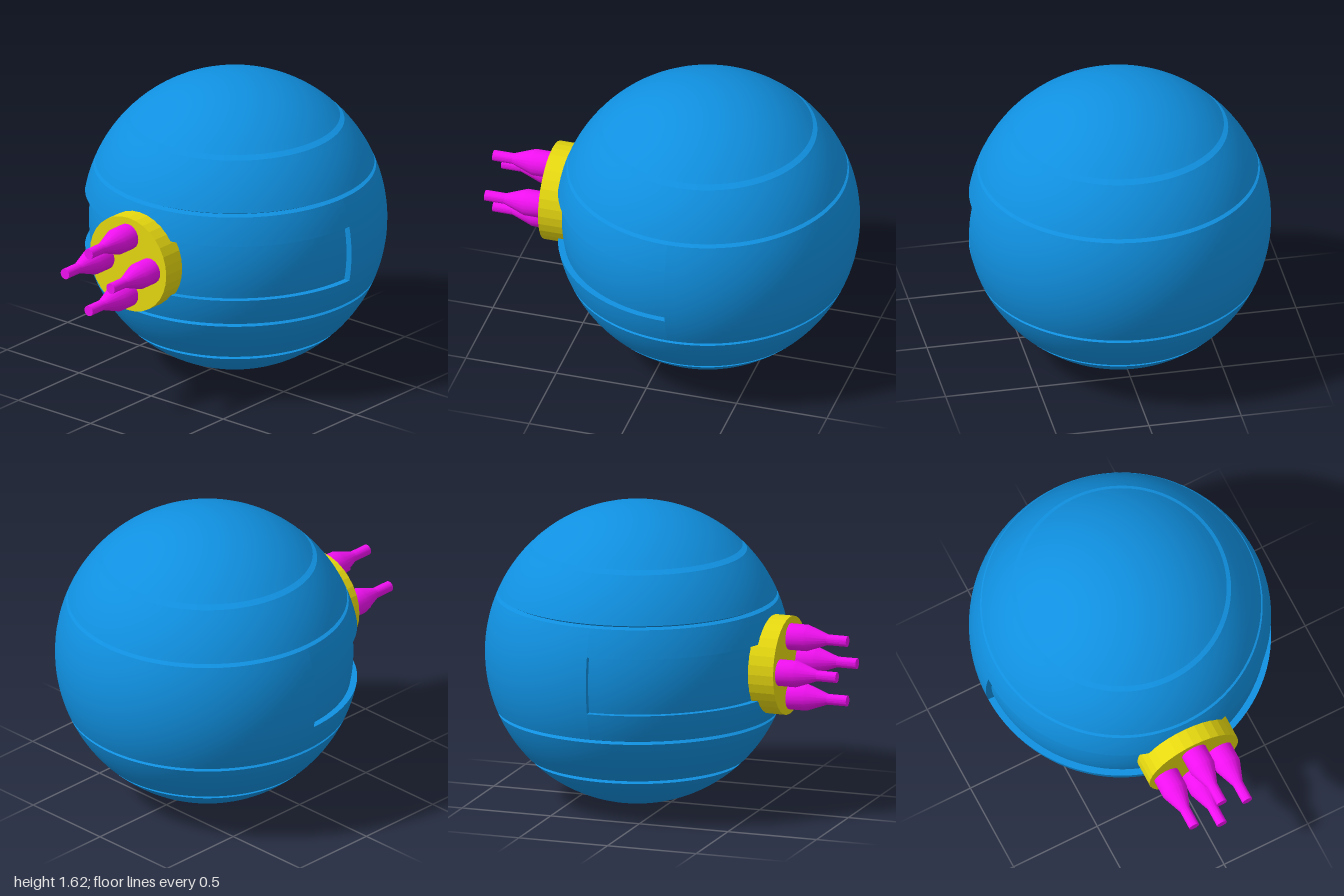
import * as THREE from 'three';
import { toCreasedNormals } from 'three/addons/utils/BufferGeometryUtils.js';

const R = 0.81, FLOOR_R = 0.775, HALF_SLOT = 0.155;

export function createModel() {
  const model = new THREE.Group();
  const mat = (color) => new THREE.MeshStandardMaterial({ color, side: THREE.DoubleSide });
  const blue = mat(0x1090e0), yellow = mat(0xe6d810), magenta = mat(0xf010f0);

  const add = (parent, name, geometry, material) => {
    const mesh = new THREE.Mesh(geometry, material);
    mesh.name = name;
    parent.add(mesh);
    return mesh;
  };
  // Points on a circle of radius r between two heights
  const arc = (r, y0, y1, n) => {
    const a0 = Math.asin(y0 / r), a1 = Math.asin(y1 / r);
    return Array.from({ length: n + 1 }, (_, i) => {
      const a = a0 + (a1 - a0) * i / n;
      return new THREE.Vector2(Math.max(0, r * Math.cos(a)), r * Math.sin(a));
    });
  };
  const lathe = (pts, seg, start = 0, length = Math.PI * 2) =>
    toCreasedNormals(new THREE.LatheGeometry(pts, seg, start, length), 0.4);

  // Ball, centred on its own origin
  const ball = new THREE.Group();
  ball.name = 'ball';
  ball.position.set(0, 0.815, -0.19);
  model.add(ball);

  // Upper and lower shells: groove, tapered band, groove, cap
  const shell = [
    new THREE.Vector2(0.72, 0.314),
    ...arc(R, 0.325, 0.563, 10),
    new THREE.Vector2(0.53, 0.579),
    ...arc(R, 0.586, R, 14),
  ];
  add(ball, 'upperShell', lathe(shell, 96), blue);
  const mirrored = shell.map((p) => new THREE.Vector2(p.x, -p.y)).reverse();
  add(ball, 'lowerShell', lathe(mirrored, 96), blue);

  // Middle band: plain at the back, with a sunken slot around the front half
  const low = new THREE.Vector2(0.72, -0.314), high = new THREE.Vector2(0.72, 0.314);
  add(ball, 'rearBand', lathe([low, ...arc(R, -0.305, 0.305, 20), high], 48, Math.PI / 2, Math.PI), blue);
  const slotted = [
    low,
    ...arc(R, -0.305, -HALF_SLOT, 6),
    ...arc(FLOOR_R, -HALF_SLOT, HALF_SLOT, 10),
    ...arc(R, HALF_SLOT, 0.305, 6),
    high,
  ];
  add(ball, 'frontBand', lathe(slotted, 48, -Math.PI / 2, Math.PI), blue);

  // Walls closing the two ends of the slot
  const wall = new THREE.Shape([
    ...arc(R, -HALF_SLOT, HALF_SLOT, 10),
    ...arc(FLOOR_R, -HALF_SLOT, HALF_SLOT, 10).reverse(),
  ]);
  for (const [side, angle] of [['left', 0], ['right', Math.PI]]) {
    add(ball, side + 'SlotEnd', new THREE.ShapeGeometry(wall), blue).rotation.y = angle;
  }

  // Round mounting plate on the front
  const head = new THREE.Group();
  head.name = 'nozzleHead';
  head.position.set(-0.013, 0.815, 0);
  model.add(head);
  const disc = toCreasedNormals(new THREE.CylinderGeometry(0.265, 0.265, 0.18, 32), 0.1);
  const plate = add(head, 'plate', disc, yellow);
  plate.rotation.x = Math.PI / 2;
  plate.position.z = 0.585;

  // Four stepped nozzles in a cross
  const nozzleProfile = [[0, 0], [0.071, 0], [0.071, 0.11], [0.029, 0.225], [0.029, 0.335], [0, 0.335]]
    .map(([r, h]) => new THREE.Vector2(r, h));
  const nozzle = lathe(nozzleProfile, 20);
  const spots = { top: [0, 0.158], bottom: [0, -0.168], left: [0.152, 0], right: [-0.165, 0] };
  for (const [name, [x, y]] of Object.entries(spots)) {
    const mesh = add(head, name + 'Nozzle', nozzle, magenta);
    mesh.rotation.x = Math.PI / 2;
    mesh.position.set(x, y, 0.665);
  }
  return model;
}
